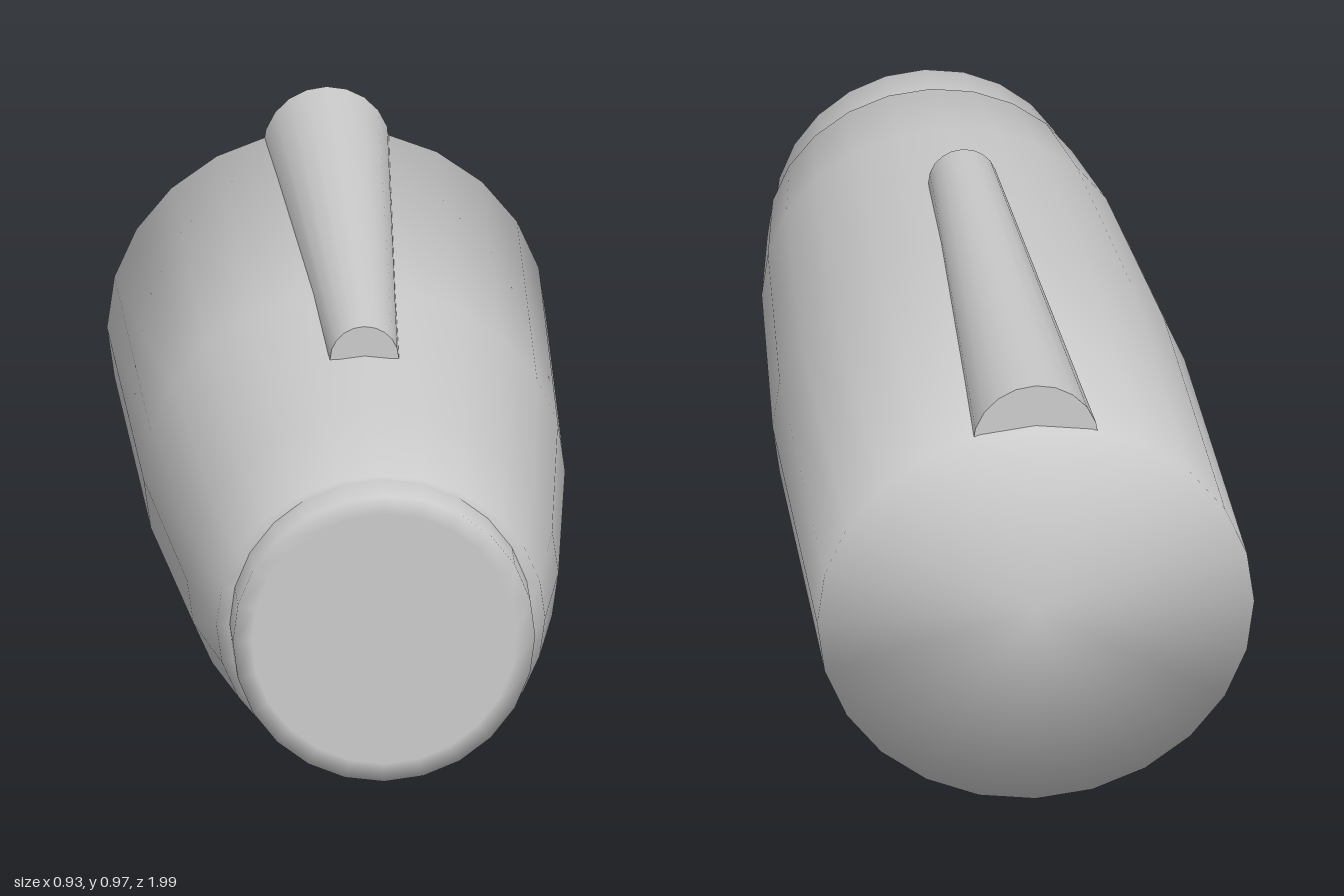
import * as THREE from 'three';

const SIDES = 24;
const AXIS_Y = 0.44; // height of the long axis

const material = new THREE.MeshStandardMaterial({ color: 0xcccccc, side: THREE.DoubleSide });

function addPart(group, name, geometry, y) {
  const mesh = new THREE.Mesh(geometry, material);
  mesh.name = name;
  mesh.position.y = y;
  group.add(mesh);
  return mesh;
}

// Turned form along z from [radius, z] pairs, listed back to front
function turned(profile) {
  const points = profile.map(([r, z]) => new THREE.Vector2(r, z));
  return new THREE.LatheGeometry(points, SIDES).rotateX(Math.PI / 2);
}

export function createModel() {
  const group = new THREE.Group();
  group.name = 'taperedHousing';

  // Slightly flattened barrel, tapering to the front, closed at the back
  const body = turned([
    [0, -1], [0.465, -1], [0.446, -0.04], [0.393, 0.6], [0.348, 0.88], [0.3, 0.88],
  ]).scale(1, 0.94, 1);
  addPart(group, 'body', body, AXIS_Y);

  // Round collar at the nose with a softly shaded rim
  addPart(group, 'frontCollar', turned([[0.32, 0.87], [0.32, 0.99], [0.28, 0.99]]), AXIS_Y);

  // Flat face inside the collar
  addPart(group, 'frontFace', new THREE.CircleGeometry(0.28, SIDES), AXIS_Y).position.z = 0.99;

  // Half-round ridge on top, widening towards the back
  const ridge = new THREE.CylinderGeometry(0.073, 0.135, 1.31, 10, 1, false, Math.PI / 2, Math.PI);
  ridge.rotateX(Math.PI / 2 + 0.0076);
  addPart(group, 'topRidge', ridge, 0.83).position.z = -0.345;

  return group;
}
